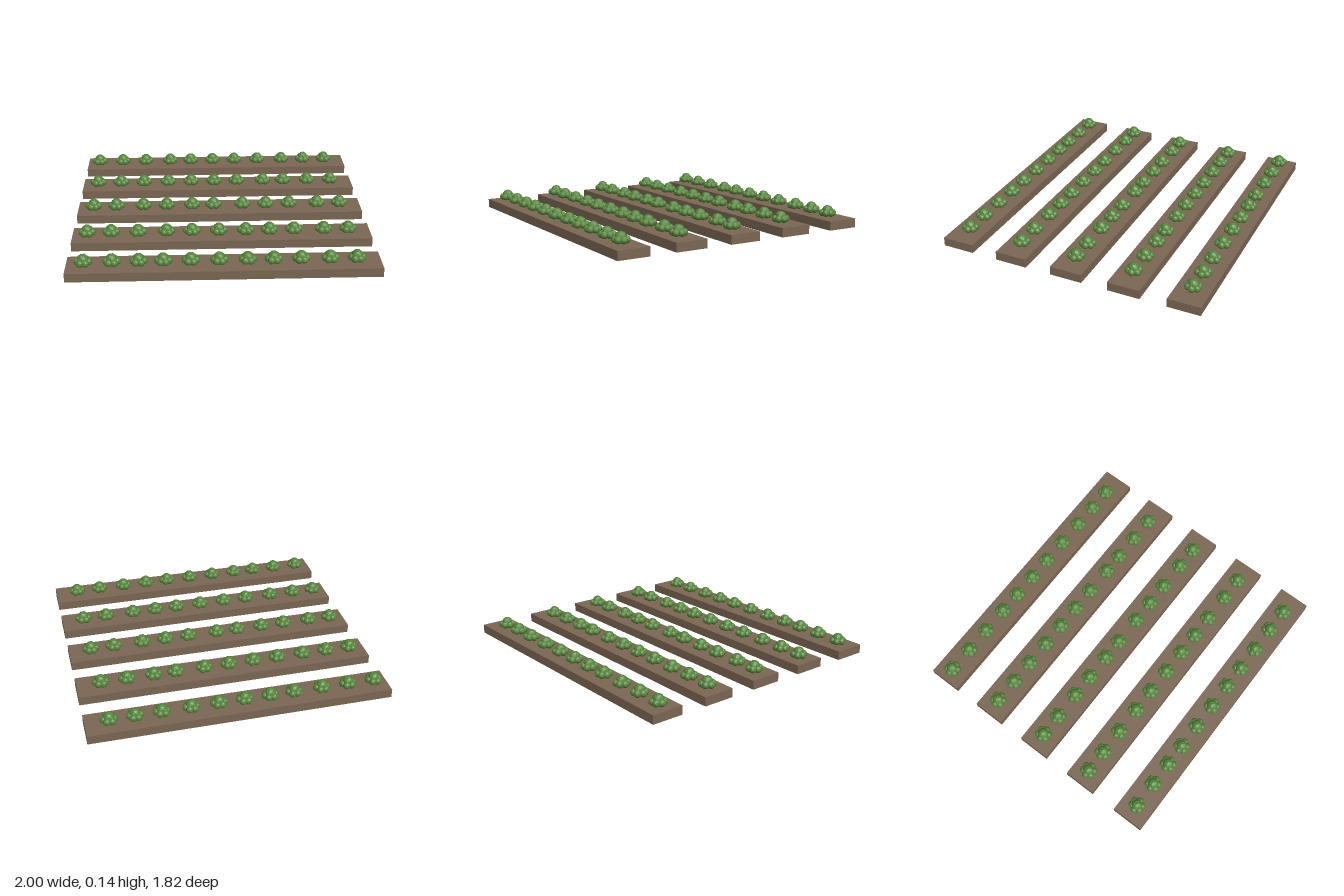
import * as THREE from 'three';
import { mergeGeometries } from 'three/addons/utils/BufferGeometryUtils.js';

const BED = { length: 2, height: 0.06, depth: 0.22 };

// Slightly uneven planting positions along each bed, keyed by the bed's z
const ROWS = [
  [-0.8, [-0.91, -0.73, -0.55, -0.36, -0.20, -0.03, 0.14, 0.32, 0.51, 0.68, 0.845]],
  [-0.4, [-0.89, -0.72, -0.55, -0.37, -0.20, -0.03, 0.14, 0.335, 0.485, 0.665, 0.84]],
  [0, [-0.89, -0.73, -0.54, -0.375, -0.195, -0.045, 0.16, 0.325, 0.49, 0.69, 0.85]],
  [0.4, [-0.90, -0.74, -0.56, -0.37, -0.20, -0.02, 0.16, 0.32, 0.485, 0.685, 0.85]],
  [0.8, [-0.89, -0.71, -0.54, -0.385, -0.21, -0.03, 0.15, 0.315, 0.49, 0.675, 0.845]],
];

// One leafy plant: a raised heart ringed by smaller leaf clumps
function plantGeometry() {
  const clump = (r, x, y, z) => new THREE.IcosahedronGeometry(r, 1).translate(x, y, z);
  const parts = [clump(0.038, 0, 0.1, 0)];
  const count = 6;
  for (let i = 0; i < count; i++) {
    const a = (i / count) * Math.PI * 2;
    parts.push(clump(0.025, Math.cos(a) * 0.034, 0.086, Math.sin(a) * 0.034));
  }
  return mergeGeometries(parts);
}

export function createModel() {
  const soil = new THREE.MeshStandardMaterial({ color: 0x7a6652 });
  const leaf = new THREE.MeshStandardMaterial({ color: 0x55853a });
  soil.name = 'soil brown';
  leaf.name = 'leaf green';
  leaf.flatShading = true;

  const bedGeometry = new THREE.BoxGeometry(BED.length, BED.height, BED.depth);
  const plant = plantGeometry();
  const model = new THREE.Group();
  model.name = 'cropField';

  for (const [z, positions] of ROWS) {
    const row = new THREE.Group();
    row.name = 'cropRow';
    row.position.z = z;

    // Raised soil bed
    const bed = new THREE.Mesh(bedGeometry, soil);
    bed.name = 'soilBed';
    bed.position.y = BED.height / 2;
    row.add(bed);

    // Plants along the bed
    for (const x of positions) {
      const mesh = new THREE.Mesh(plant, leaf);
      mesh.name = 'plant';
      mesh.position.x = x;
      row.add(mesh);
    }
    model.add(row);
  }
  return model;
}
